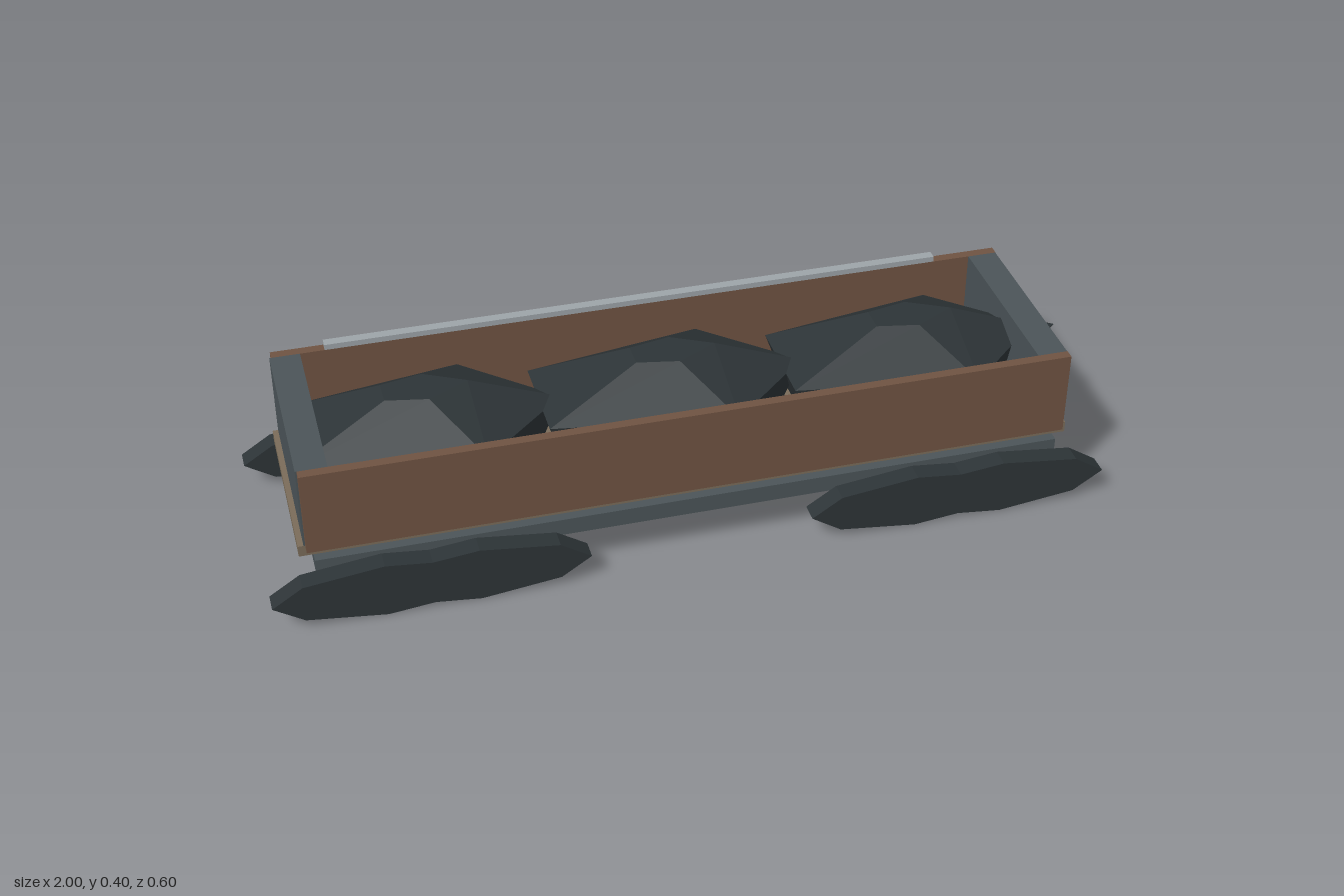
import * as THREE from 'three';

const paint = (color) => new THREE.MeshStandardMaterial({ color, flatShading: true });

// Joins equal-sized rings of [x, y, z] points into a closed, flat-faced solid
function loft(rings) {
  const pos = [];
  const tri = (a, b, c) => pos.push(...a, ...b, ...c);
  const n = rings[0].length;
  const first = rings[0], last = rings[rings.length - 1];
  for (let r = 0; r < rings.length - 1; r++) {
    for (let i = 0; i < n; i++) {
      const j = (i + 1) % n;
      tri(rings[r][i], rings[r][j], rings[r + 1][j]);
      tri(rings[r][i], rings[r + 1][j], rings[r + 1][i]);
    }
  }
  for (let i = 1; i < n - 1; i++) {
    tri(first[0], first[i + 1], first[i]);
    tri(last[0], last[i], last[i + 1]);
  }
  const geo = new THREE.BufferGeometry();
  geo.setAttribute('position', new THREE.Float32BufferAttribute(pos, 3));
  geo.computeVertexNormals();
  return geo;
}

// Five-sided ring, mirrored across z: nose point, shoulder and tail corners
const heapRing = (y, nose, [sx, sz], [tx, tz]) => [
  [nose, y, 0], [sx, y, -sz], [tx, y, -tz], [tx, y, tz], [sx, y, sz],
];

export function createModel() {
  const model = new THREE.Group();
  const slate = paint(0x4b5458);
  const brown = paint(0x6f5342);
  const tan = paint(0x7a6c59);
  const dark = paint(0x2d3437);
  const steel = paint(0x9da4a8);

  const add = (name, geo, mat, x = 0, y = 0, z = 0) => {
    const mesh = new THREE.Mesh(geo, mat);
    mesh.name = name;
    mesh.position.set(x, y, z);
    model.add(mesh);
    return mesh;
  };
  // Box given by its minimum and maximum corners
  const box = (name, mat, [x0, y0, z0], [x1, y1, z1]) =>
    add(name, new THREE.BoxGeometry(x1 - x0, y1 - y0, z1 - z0), mat,
      (x0 + x1) / 2, (y0 + y1) / 2, (z0 + z1) / 2);

  // Underframe and floor
  box('chassis', slate, [-0.89, 0.107, -0.252], [0.89, 0.15, 0.252]);
  box('deck', tan, [-0.923, 0.15, -0.228], [0.923, 0.178, 0.228]);

  // Walls of the open box
  box('leftEndWall', slate, [0.833, 0.178, -0.228], [0.905, 0.386, 0.228]);
  box('rightEndWall', slate, [-0.91, 0.178, -0.228], [-0.838, 0.386, 0.228]);
  box('frontWall', brown, [-0.906, 0.175, 0.228], [0.906, 0.386, 0.252]);
  box('backWall', brown, [-0.906, 0.175, -0.252], [0.906, 0.386, -0.228]);
  box('topRail', steel, [-0.78, 0.386, -0.252], [0.74, 0.4, -0.228]);

  // Wheel plates: scalloped profile covering two wheels each
  const upper = [[-0.295, 0.047], [-0.108, 0.07], [0, 0.058], [0.108, 0.07], [0.295, 0.047]];
  const lower = upper.map(([x, y]) => [-x, -y]);
  const outline = [[-0.367, 0], ...upper, [0.367, 0], ...lower];
  const shape = new THREE.Shape(outline.map(([x, y]) => new THREE.Vector2(x, y)));
  const wheelGeo = new THREE.ExtrudeGeometry(shape, { depth: 0.048, bevelEnabled: false });
  for (const x of [-0.633, 0.633]) {
    add('frontWheelPair', wheelGeo, dark, x, 0.07, 0.252);
    add('backWheelPair', wheelGeo, dark, x, 0.07, -0.3);
  }

  // Faceted cargo heaps
  const heapGeo = loft([
    heapRing(0.178, 0.27, [0.1, 0.165], [-0.27, 0.1]),
    heapRing(0.315, 0.325, [0.115, 0.193], [-0.318, 0.122]),
    heapRing(0.4, 0.108, [0.01, 0.052], [-0.09, 0.032]),
  ]);
  for (const i of [-1, 0, 1]) add('cargoHeap', heapGeo, dark, i * 0.59, 0, 0);

  // Kite-shaped pointed lamp on the end wall
  const apex = [0.976, 0.305, 0];
  add('endLamp', loft([
    [[0.9, 0.33, 0], [0.9, 0.305, 0.054], [0.9, 0.226, 0], [0.9, 0.305, -0.054]],
    [apex, apex, apex, apex],
  ]), dark);

  return model;
}
